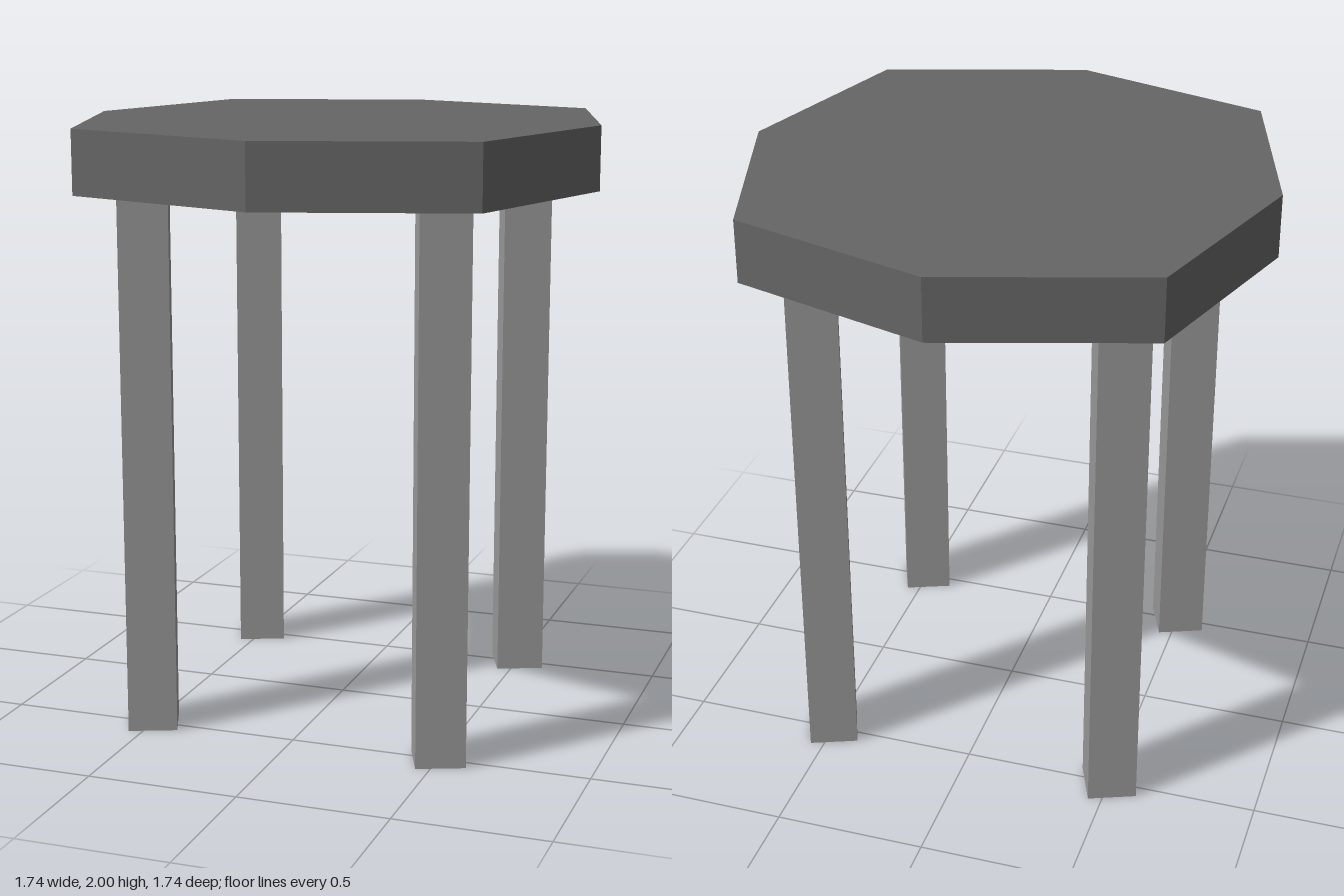
import * as THREE from 'three';

export function createModel() {
  const group = new THREE.Group();
  const seatGrey = new THREE.MeshStandardMaterial({ color: 0x666666 });
  seatGrey.name = 'dark grey';
  const legGrey = new THREE.MeshStandardMaterial({ color: 0x999999 });
  legGrey.name = 'light grey';

  const legHeight = 1.79, seatThickness = 0.21;

  // Eight-sided seat slab, its diagonal corners slightly further out
  const corners = [];
  for (let i = 0; i < 8; i++) {
    const r = i % 2 ? 0.943 : 0.87;
    const a = (i * Math.PI) / 4;
    corners.push(new THREE.Vector2(r * Math.cos(a), r * Math.sin(a)));
  }
  const seatGeometry = new THREE.ExtrudeGeometry(new THREE.Shape(corners), {
    depth: seatThickness, bevelEnabled: false,
  });
  seatGeometry.rotateX(-Math.PI / 2);
  const seat = new THREE.Mesh(seatGeometry, seatGrey);
  seat.name = 'seat';
  seat.position.y = legHeight;
  group.add(seat);

  // Four square legs, all twisted the same way
  const legGeometry = new THREE.BoxGeometry(0.162, legHeight, 0.162);
  for (const [zName, z] of [['front', 0.5], ['back', -0.5]]) {
    for (const [xName, x] of [['Left', 0.5], ['Right', -0.5]]) {
      const leg = new THREE.Mesh(legGeometry, legGrey);
      leg.name = `${zName}${xName}Leg`;
      leg.position.set(x, legHeight / 2, z);
      leg.rotation.y = 0.38;
      group.add(leg);
    }
  }
  return group;
}
